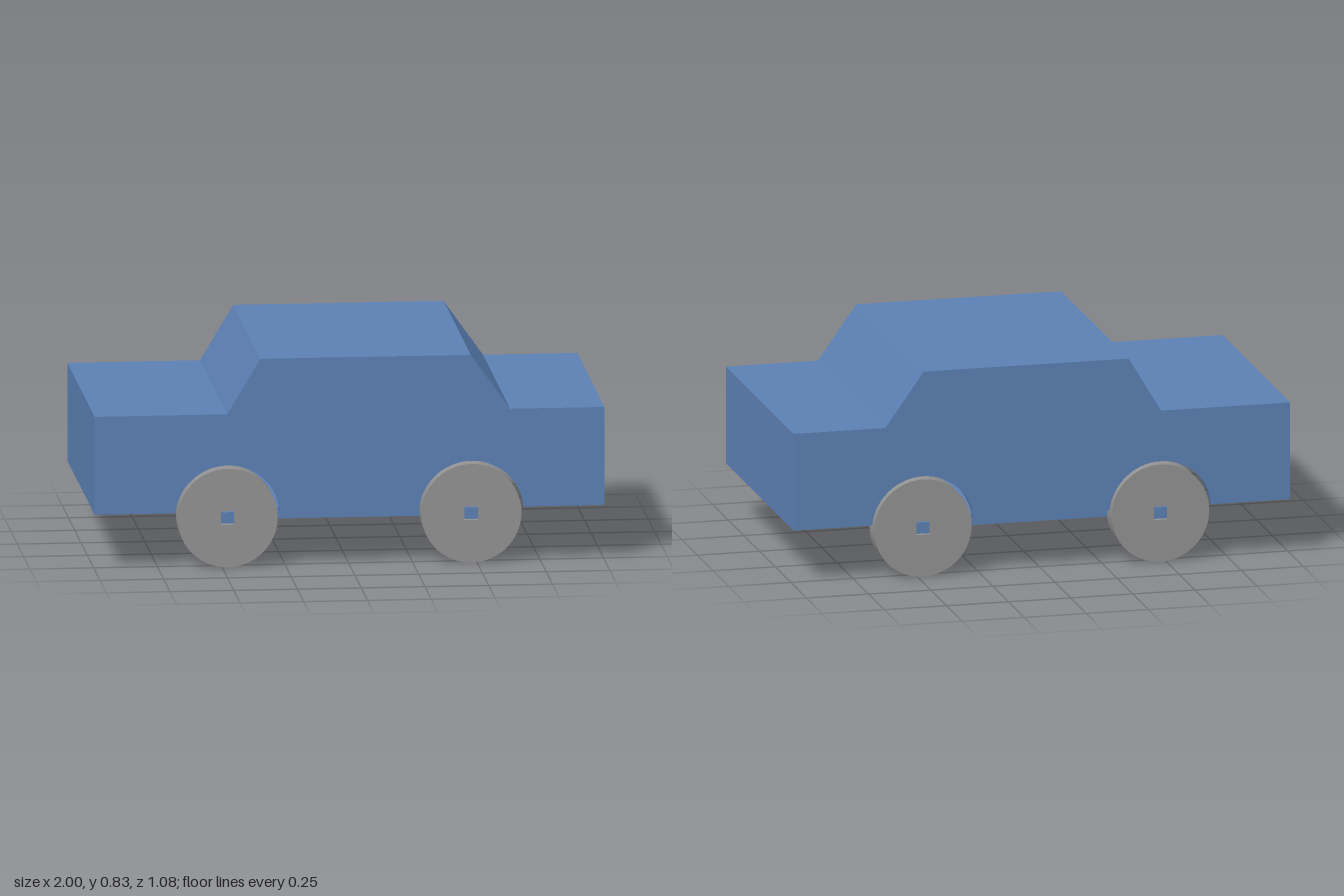
import * as THREE from 'three';

const HALF_W = 0.54, WALL = 0.03;
const WHEEL_X = 0.478, WHEEL_Y = 0.197, WHEEL_R = 0.196, ARCH_R = 0.206;
const BOTTOM = 0.22;

const blue = new THREE.MeshStandardMaterial({ color: 0x5b80b4 });
const grey = new THREE.MeshStandardMaterial({ color: 0x929292 });

// Outer and inner side outlines, from rear bottom over the roof to front bottom
const OUTER = [[-1, BOTTOM], [-1, 0.61], [-0.48, 0.61], [-0.35, 0.828],
  [0.475, 0.828], [0.63, 0.61], [1, 0.61], [1, BOTTOM]];
const INNER = [[-0.97, BOTTOM], [-0.97, 0.58], [-0.463, 0.58], [-0.333, 0.798],
  [0.46, 0.798], [0.615, 0.58], [0.97, 0.58], [0.97, BOTTOM]];

const points = (list) => list.map(([x, y]) => new THREE.Vector2(x, y));

function extrude(name, shape, z0, z1, material, curveSegments = 48) {
  const geometry = new THREE.ExtrudeGeometry(shape, { depth: z1 - z0, bevelEnabled: false, curveSegments });
  geometry.translate(0, 0, z0);
  const mesh = new THREE.Mesh(geometry, material);
  mesh.name = name;
  return mesh;
}

function box(name, w, h, d, x, y, z) {
  const mesh = new THREE.Mesh(new THREE.BoxGeometry(w, h, d), blue);
  mesh.position.set(x, y, z);
  mesh.name = name;
  return mesh;
}

// Side wall outline with the two wheel arches cut from its lower edge
function sideShape() {
  const shape = new THREE.Shape(points(OUTER));
  const a = Math.asin((BOTTOM - 0.2) / ARCH_R);
  for (const x of [WHEEL_X, -WHEEL_X]) {
    shape.lineTo(x + ARCH_R * Math.cos(a), BOTTOM);
    shape.absarc(x, 0.2, ARCH_R, a, Math.PI - a, false);
  }
  shape.closePath();
  return shape;
}

// Disc with a square axle hole
function wheelShape() {
  const shape = new THREE.Shape();
  shape.absarc(0, 0, WHEEL_R, 0, Math.PI * 2, false);
  const h = 0.027;
  shape.holes.push(new THREE.Path(points([[-h, -h], [-h, h], [h, h], [h, -h]])));
  return shape;
}

export function createModel() {
  const car = new THREE.Group();
  car.name = 'toyCar';

  // Hollow body, open underneath
  const body = new THREE.Group();
  body.name = 'body';
  const strip = new THREE.Shape(points([...OUTER, ...[...INNER].reverse()]));
  body.add(extrude('bodyCover', strip, -HALF_W + WALL, HALF_W - WALL, blue));
  body.add(extrude('leftSideWall', sideShape(), HALF_W - WALL, HALF_W, blue));
  body.add(extrude('rightSideWall', sideShape(), -HALF_W, -HALF_W + WALL, blue));
  car.add(body);

  // Floor plate with the axles in line with it
  car.add(box('chassisPlate', 1.31, 0.045, 0.92, 0, 0.1975, 0));
  for (const x of [-WHEEL_X, WHEEL_X]) {
    for (const s of [-1, 1]) {
      car.add(box('axleEnd', 0.05, 0.045, 0.08, x, 0.1975, s * 0.5));

      // Wheels
      const wheel = extrude('wheel', wheelShape(), -0.04, 0.04, grey, 64);
      wheel.position.set(x, WHEEL_Y, s * 0.5);
      car.add(wheel);
    }
  }
  return car;
}
